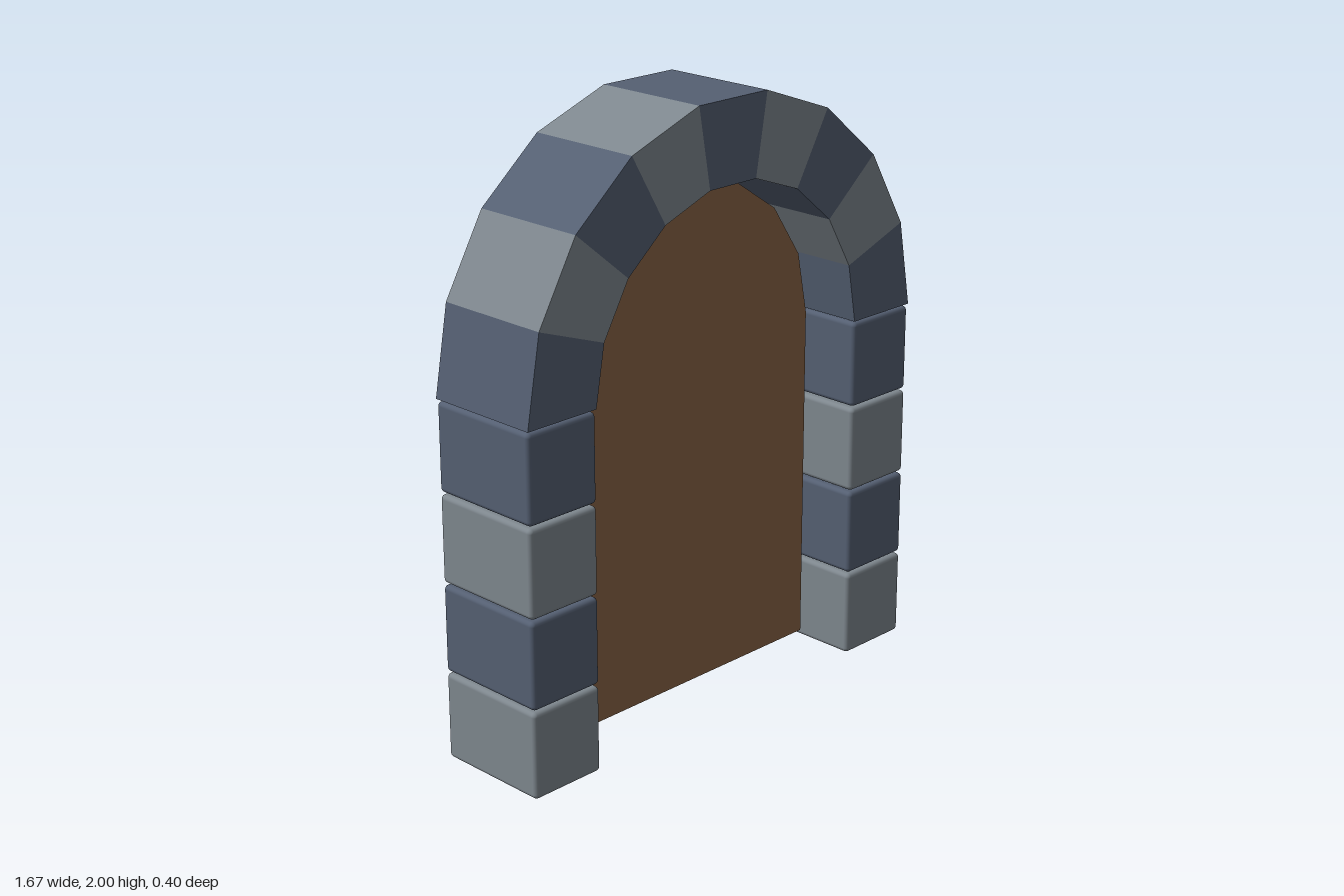
import * as THREE from 'three';
import { RoundedBoxGeometry } from 'three/addons/geometries/RoundedBoxGeometry.js';

const paint = (color, flatShading = false) => new THREE.MeshStandardMaterial({ color, flatShading });
const greyStone = paint(0x7f888f);
const blueStone = paint(0x556073);
const wood = paint(0x8a6547);
const grooveDark = paint(0x2a1c12);
const iron = paint(0x2f3a44);
const brass = paint(0x9a7434);

const SPRING = 1.176;               // height where the arch starts
const OUTER = 0.837, INNER = 0.57;  // arch radii
const DEPTH = 0.4;
const DOOR_R = 0.537, DOOR_BACK = -0.07, DOOR_THICK = 0.09;

function add(parent, name, geometry, material, x = 0, y = 0, z = 0) {
  const mesh = new THREE.Mesh(geometry, material);
  mesh.name = name;
  mesh.position.set(x, y, z);
  parent.add(mesh);
  return mesh;
}

const polar = (r, a) => new THREE.Vector2(r * Math.cos(a), SPRING + r * Math.sin(a));

function extrude(points, depth) {
  return new THREE.ExtrudeGeometry(new THREE.Shape(points), { depth, bevelEnabled: false });
}

export function createModel() {
  const model = new THREE.Group();
  model.name = 'archedDoorway';

  // Pillars: four softened blocks on each side
  const pitch = SPRING / 4, blockHeight = 0.287;
  const block = new RoundedBoxGeometry(OUTER - INNER, blockHeight, DEPTH, 2, 0.015);
  for (const side of [1, -1]) {
    const pillar = new THREE.Group();
    pillar.name = side > 0 ? 'leftPillar' : 'rightPillar';
    for (let i = 0; i < 4; i++) {
      add(pillar, 'pillarBlock', block, i % 2 ? blueStone : greyStone,
        side * (OUTER + INNER) / 2, i * pitch + blockHeight / 2, 0);
    }
    model.add(pillar);
  }

  // Arch: nine wedge stones
  const arch = new THREE.Group();
  arch.name = 'arch';
  const step = Math.PI / 9;
  for (let i = 0; i < 9; i++) {
    const a = i * step, b = a + step;
    const wedge = extrude([polar(INNER, a), polar(OUTER, a), polar(OUTER, b), polar(INNER, b)], DEPTH);
    add(arch, i === 4 ? 'keystone' : 'archStone', wedge, i % 2 ? greyStone : blueStone, 0, 0, -DEPTH / 2);
  }
  model.add(arch);

  // Door leaf with an eight-sided round top
  const door = new THREE.Group();
  door.name = 'door';
  const outline = [new THREE.Vector2(-DOOR_R, 0.04), new THREE.Vector2(DOOR_R, 0.04)];
  for (let i = 0; i <= 8; i++) outline.push(polar(DOOR_R, i * Math.PI / 8));
  add(door, 'doorLeaf', extrude(outline, DOOR_THICK), wood, 0, 0, DOOR_BACK);

  // Plank seams
  const seam = new THREE.BoxGeometry(0.016, 1.09, 0.012);
  for (let i = -2; i <= 2; i++) add(door, 'plankSeam', seam, grooveDark, i * 0.178, 0.587, DOOR_BACK - 0.002);

  // Iron straps with a bolt near each end
  const strap = new THREE.BoxGeometry(DOOR_R * 2, 0.09, 0.025);
  const bolt = new THREE.CylinderGeometry(0.018, 0.02, 0.02, 8).rotateX(-Math.PI / 2);
  for (const y of [0.345, 0.938]) {
    add(door, 'ironStrap', strap, iron, 0, y, DOOR_BACK - 0.0125);
    for (const side of [1, -1]) add(door, 'strapBolt', bolt, brass, side * 0.45, y, DOOR_BACK - 0.033);
  }

  // Pull ring
  add(door, 'pullRing', new THREE.TorusGeometry(0.057, 0.014, 8, 20), iron, 0.355, 0.695, DOOR_BACK - 0.022);
  model.add(door);

  return model;
}
